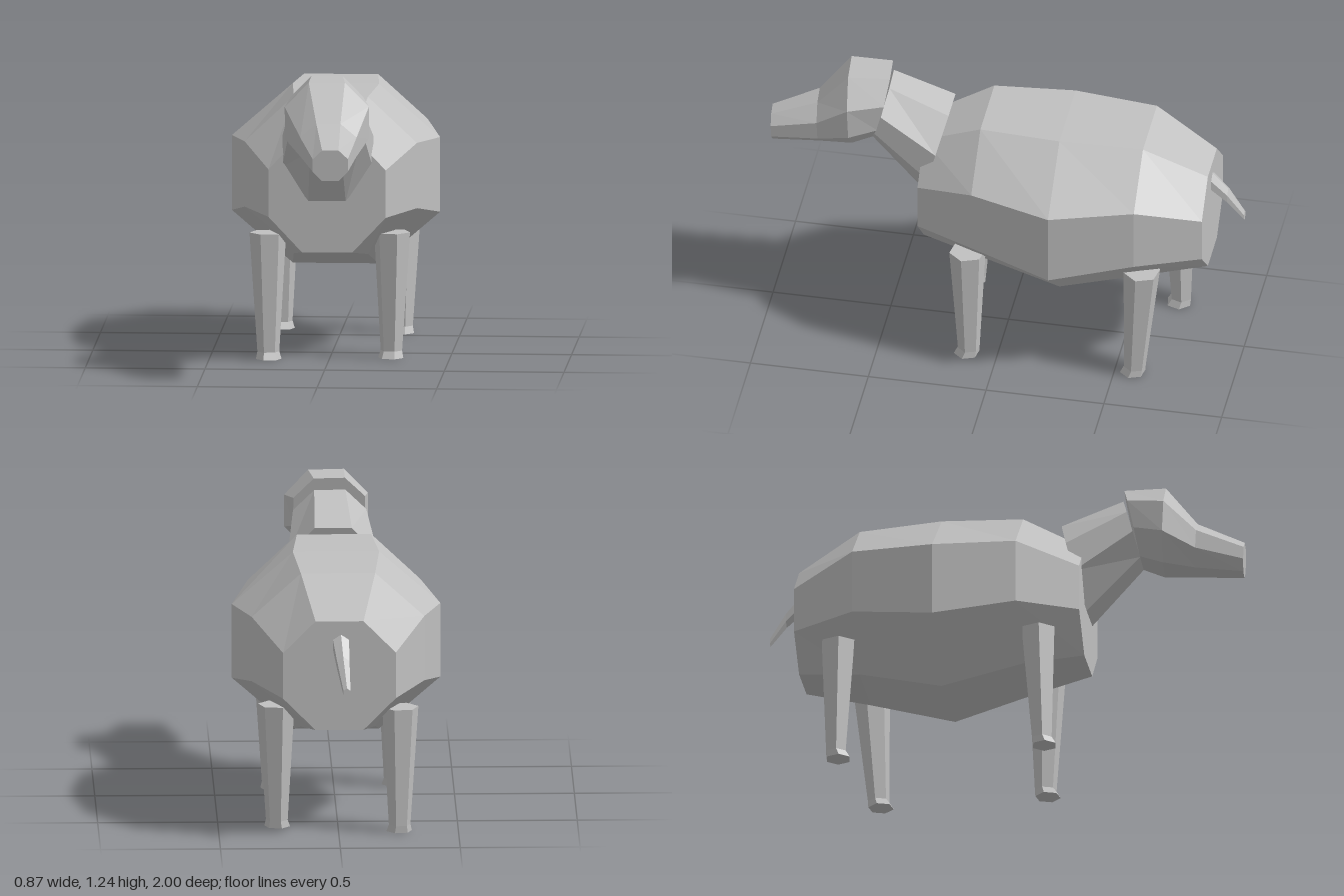
import * as THREE from 'three';

const wool = new THREE.MeshStandardMaterial({ color: 0xc0c0c0 });
wool.name = 'wool grey';

// Faceted skin over a list of equal-length rings, closed at both ends.
// Rings run counter-clockwise when seen from the last ring's side.
function loft(name, rings) {
  const pos = [];
  const tri = (...pts) => pts.forEach((p) => pos.push(...p));
  const n = rings[0].length;
  for (let i = 0; i < rings.length - 1; i++) {
    for (let j = 0; j < n; j++) {
      const k = (j + 1) % n;
      const [a, b, c, d] = [rings[i][j], rings[i][k], rings[i + 1][k], rings[i + 1][j]];
      tri(a, b, c);
      tri(a, c, d);
    }
  }
  const first = rings[0], last = rings[rings.length - 1];
  for (let j = 1; j < n - 1; j++) {
    tri(first[0], first[j + 1], first[j]);
    tri(last[0], last[j], last[j + 1]);
  }
  const geo = new THREE.BufferGeometry();
  geo.setAttribute('position', new THREE.Float32BufferAttribute(pos, 3));
  geo.computeVertexNormals();
  const mesh = new THREE.Mesh(geo, wool);
  mesh.name = name;
  return mesh;
}

// Octagon facing +z: half width w, half width t of its top and bottom edges,
// four heights, z at bottom and top, and a yaw slope across x.
function octagon({ x = 0, w, t, y, z, zTop = z, yaw = 0 }) {
  const [y0, y1, y2, y3] = y;
  const outline = [[t, y0], [w, y1], [w, y2], [t, y3], [-t, y3], [-w, y2], [-w, y1], [-t, y0]];
  return outline.map(([px, py]) => [
    x + px, py, z + (zTop - z) * (py - y0) / (y3 - y0) - px * yaw,
  ]);
}

// Horizontal hexagon for the legs
function hexagon(x, y, z, r, side) {
  return Array.from({ length: 6 }, (_, i) => {
    const a = THREE.MathUtils.degToRad(i * 60 - side * 10);
    return [x + r * Math.cos(a), y, z - r * Math.sin(a)];
  });
}

function createLeg(name, side, topZ, footZ) {
  return loft(name, [
    hexagon(side * 0.253, 0, footZ + 0.01, 0.054, side),
    hexagon(side * 0.255, 0.03, footZ, 0.046, side),
    hexagon(side * 0.258, 0.53, topZ, 0.077, side),
  ]);
}

export function createModel() {
  const model = new THREE.Group();
  model.name = 'sheep';

  // Barrel body, rump to chest
  model.add(loft('body', [
    { w: 0.235, t: 0.1, y: [0.475, 0.61, 0.805, 0.94], z: -0.865 },
    { w: 0.36, t: 0.155, y: [0.43, 0.625, 0.9, 1.085], z: -0.6 },
    { w: 0.435, t: 0.18, y: [0.34, 0.56, 0.875, 1.097], z: -0.25 },
    { w: 0.36, t: 0.155, y: [0.43, 0.625, 0.9, 1.093], z: 0.09 },
    { w: 0.245, t: 0.105, y: [0.472, 0.62, 0.82, 0.968], z: 0.34 },
  ].map(octagon)));

  // Neck, leaning forward
  model.add(loft('neck', [
    { w: 0.19, t: 0.078, y: [0.69, 0.825, 0.955, 1.085], z: 0.345, zTop: 0.24 },
    { x: 0.008, w: 0.153, t: 0.065, y: [0.93, 1.01, 1.1, 1.19], z: 0.565, zTop: 0.495, yaw: 0.04 },
  ].map(octagon)));

  // Head, turned slightly to one side
  const yaw = 0.09;
  model.add(loft('head', [
    { x: 0.01, w: 0.15, t: 0.065, y: [0.935, 1.03, 1.155, 1.24], z: 0.56, zTop: 0.495, yaw },
    { x: 0.02, w: 0.175, t: 0.075, y: [0.9, 1.0, 1.135, 1.238], z: 0.655, zTop: 0.67, yaw },
    { x: 0.035, w: 0.117, t: 0.05, y: [0.885, 0.945, 1.025, 1.083], z: 0.79, zTop: 0.8, yaw },
    { x: 0.055, w: 0.073, t: 0.034, y: [0.87, 0.91, 0.963, 1.0], z: 0.988, zTop: 0.994, yaw },
  ].map(octagon)));

  // Legs in a gentle stride
  model.add(
    createLeg('frontLeftLeg', 1, 0.125, 0.12),
    createLeg('frontRightLeg', -1, 0.17, 0.185),
    createLeg('backLeftLeg', 1, -0.615, -0.585),
    createLeg('backRightLeg', -1, -0.675, -0.685),
  );

  // Drooping tail, tip to root
  const tailRings = [
    { x: -0.028, y: 0.663, z: -0.997, w: 0.017, h: 0.02 },
    { x: -0.014, y: 0.768, z: -0.93, w: 0.03, h: 0.035 },
    { x: -0.005, y: 0.85, z: -0.855, w: 0.04, h: 0.045 },
  ].map(({ x, y, z, w, h }) => Array.from({ length: 6 }, (_, i) => {
    const a = i * Math.PI / 3 + Math.PI / 6;
    return [x + w * Math.cos(a), y + h * Math.sin(a), z];
  }));
  model.add(loft('tail', tailRings));

  return model;
}
